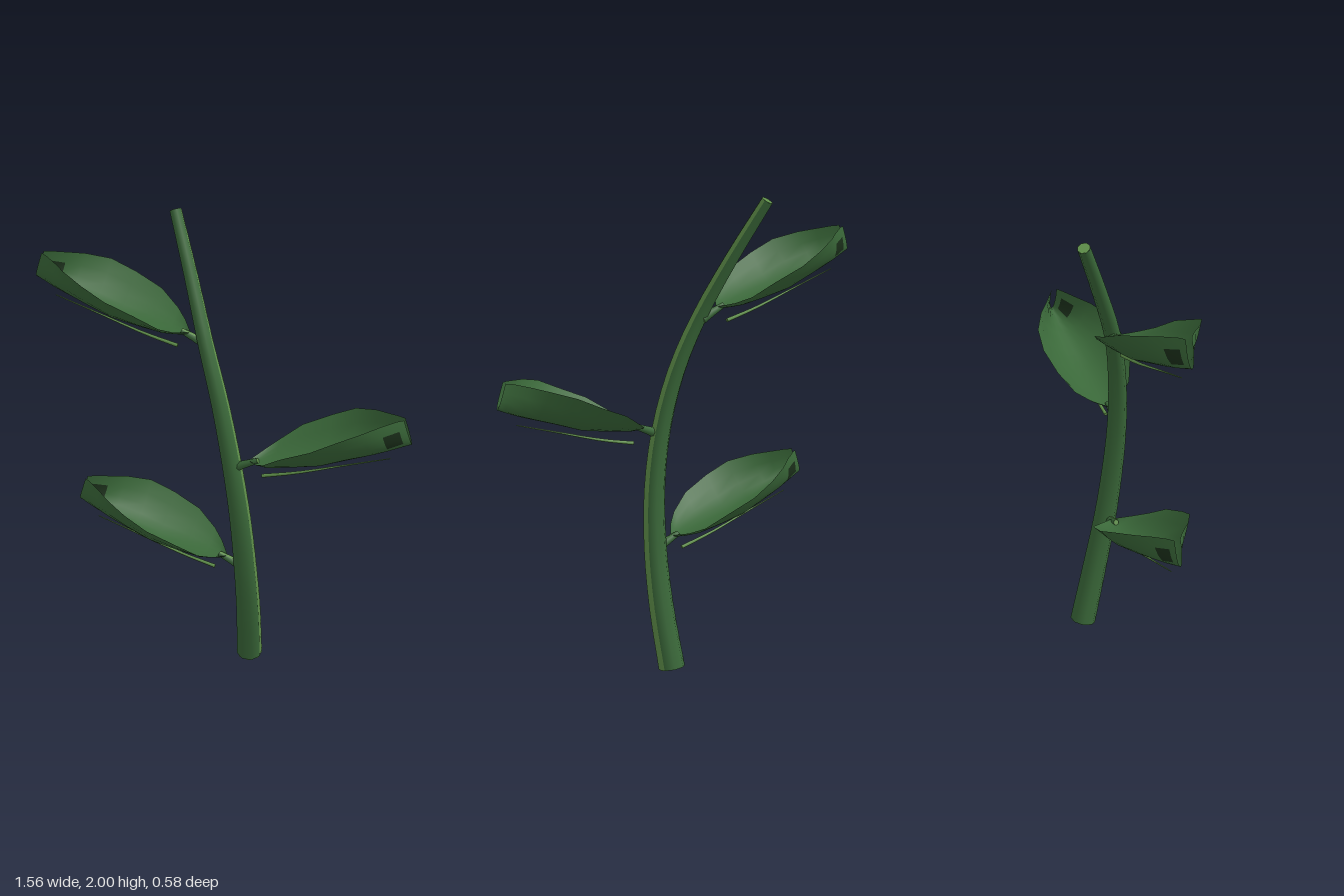
import * as THREE from 'three';

const mat = (name, color) => {
  const m = new THREE.MeshStandardMaterial({ color, side: THREE.DoubleSide });
  m.name = name;
  return m;
};

// Surface from an n by m grid of points; groups(i, j) picks the material index
function gridGeometry(n, m, point, pick = () => 0) {
  const pos = [], lists = [[], []];
  for (let i = 0; i <= n; i++)
    for (let j = 0; j <= m; j++) pos.push(...point(i / n, j / m).toArray());
  for (let i = 0; i < n; i++)
    for (let j = 0; j < m; j++) {
      const a = i * (m + 1) + j, b = a + m + 1;
      lists[pick(i, j)].push(a, a + 1, b, a + 1, b + 1, b);
    }
  const g = new THREE.BufferGeometry();
  g.setAttribute('position', new THREE.Float32BufferAttribute(pos, 3));
  g.setIndex([...lists[0], ...lists[1]]);
  g.addGroup(0, lists[0].length, 0);
  g.addGroup(lists[0].length, lists[1].length, 1);
  g.computeVertexNormals();
  return g;
}

// Tapered stalk along a curve, with a paler strip on one side and pale ends
function stalk(name, points, r0, r1, rings, dark, pale) {
  const curve = new THREE.CatmullRomCurve3(points.map(p => new THREE.Vector3(...p)));
  const group = new THREE.Group();
  group.name = name;
  const frame = t => {
    const tan = curve.getTangent(t);
    const e1 = new THREE.Vector3(1, 0, 0).addScaledVector(tan, -tan.x).normalize();
    return { c: curve.getPoint(t), tan, e1, e2: tan.clone().cross(e1) };
  };
  const add = (part, a0, a1, sides, m) => {
    const normals = [];
    const g = gridGeometry(rings, sides, (t, u) => {
      const f = frame(t), a = a0 + (a1 - a0) * u;
      const n = f.e1.multiplyScalar(Math.cos(a)).addScaledVector(f.e2, Math.sin(a));
      normals.push(n.x, n.y, n.z);
      return f.c.addScaledVector(n, r0 + (r1 - r0) * t);
    });
    g.setAttribute('normal', new THREE.Float32BufferAttribute(normals, 3));
    g.clearGroups();
    const mesh = new THREE.Mesh(g, m);
    mesh.name = part;
    group.add(mesh);
  };
  add('bark', Math.PI / 4, 2 * Math.PI, 7, dark);
  add('paleStrip', 0, Math.PI / 4, 1, pale);
  for (const t of [0, 1]) {
    const f = frame(t);
    const cap = new THREE.Mesh(new THREE.CircleGeometry(t ? r1 : r0, 8), pale);
    cap.position.copy(f.c);
    cap.lookAt(f.c.clone().addScaledVector(f.tan, t ? 1 : -1));
    cap.name = t ? 'topEnd' : 'bottomEnd';
    group.add(cap);
  }
  return group;
}

// Linear lookup in a list of [t, halfWidth, edgeRise, midribHeight]
const PROFILE = [
  [0, 0.006, 0.01, 0], [0.07, 0.075, 0.03, 0.002], [0.145, 0.125, 0.055, 0.005],
  [0.28, 0.168, 0.1, 0.02], [0.47, 0.185, 0.13, 0.045], [0.63, 0.17, 0.14, 0.085],
  [0.78, 0.117, 0.135, 0.12], [0.87, 0.07, 0.128, 0.142], [0.96, 0.028, 0.115, 0.168],
  [1, 0.012, 0.105, 0.18],
];

// Cupped blade: the edges stay raised while the width closes towards the tip
function bladeGeometry() {
  const rows = PROFILE.length - 1;
  return gridGeometry(rows, 10, (t, v) => {
    const [s, w, h, y] = PROFILE[Math.round(t * rows)];
    const u = v * 2 - 1;
    const bulge = 1 + 0.9 * s ** 6 * (1 - u * u);
    return new THREE.Vector3(0.667 * s - 0.035 * s * u * u, y + h * u * u, w * u * bulge);
  }, (i, j) => (i === rows - 2 && (j === 7 || j === 8) ? 1 : 0));
}

export function createModel() {
  const green = mat('leafGreen', 0x3a6839);
  const pale = mat('paleGreen', 0x5f8f4a);
  const shade = mat('deepGreen', 0x1b2f1a);
  const model = new THREE.Group();
  model.name = 'plantSprig';

  // Main stem
  model.add(stalk('stem', [
    [0.068, 0.012, -0.133], [0.1, 0.27, -0.078], [0.115, 0.52, -0.03], [0.11, 0.77, 0.003],
    [0.078, 1.02, 0.02], [0.015, 1.27, 0.015], [-0.075, 1.5, -0.01],
    [-0.195, 1.75, -0.07], [-0.322, 1.988, -0.135],
  ], 0.057, 0.025, 24, green, pale));

  // Leaves, each with its short stalk and a fine vein hanging below
  const blade = bladeGeometry();
  const leaves = [
    ['lowerLeaf', 0.04, 0.55, Math.PI + 0.336],
    ['middleLeaf', 0.155, 1.04, 0.336],
    ['upperLeaf', -0.15, 1.53, Math.PI + 0.336],
  ];
  for (const [name, x, y, turn] of leaves) {
    const leaf = new THREE.Group();
    leaf.name = name;
    leaf.position.set(x, y, 0);
    const surface = new THREE.Mesh(blade, [green, shade]);
    surface.name = 'blade';
    surface.rotation.y = turn;
    leaf.add(surface);

    const dir = (s, h) => [s * Math.cos(turn), h, -s * Math.sin(turn)];
    leaf.add(stalk('leafStalk', [dir(-0.07, -0.035), dir(-0.02, -0.012), dir(0.035, 0.012)],
      0.022, 0.012, 4, green, pale));
    leaf.add(stalk('vein', [dir(0.053, -0.055), dir(0.2, -0.018), dir(0.38, 0.04), dir(0.583, 0.105)],
      0.008, 0.002, 8, pale, pale));
    model.add(leaf);
  }
  return model;
}
